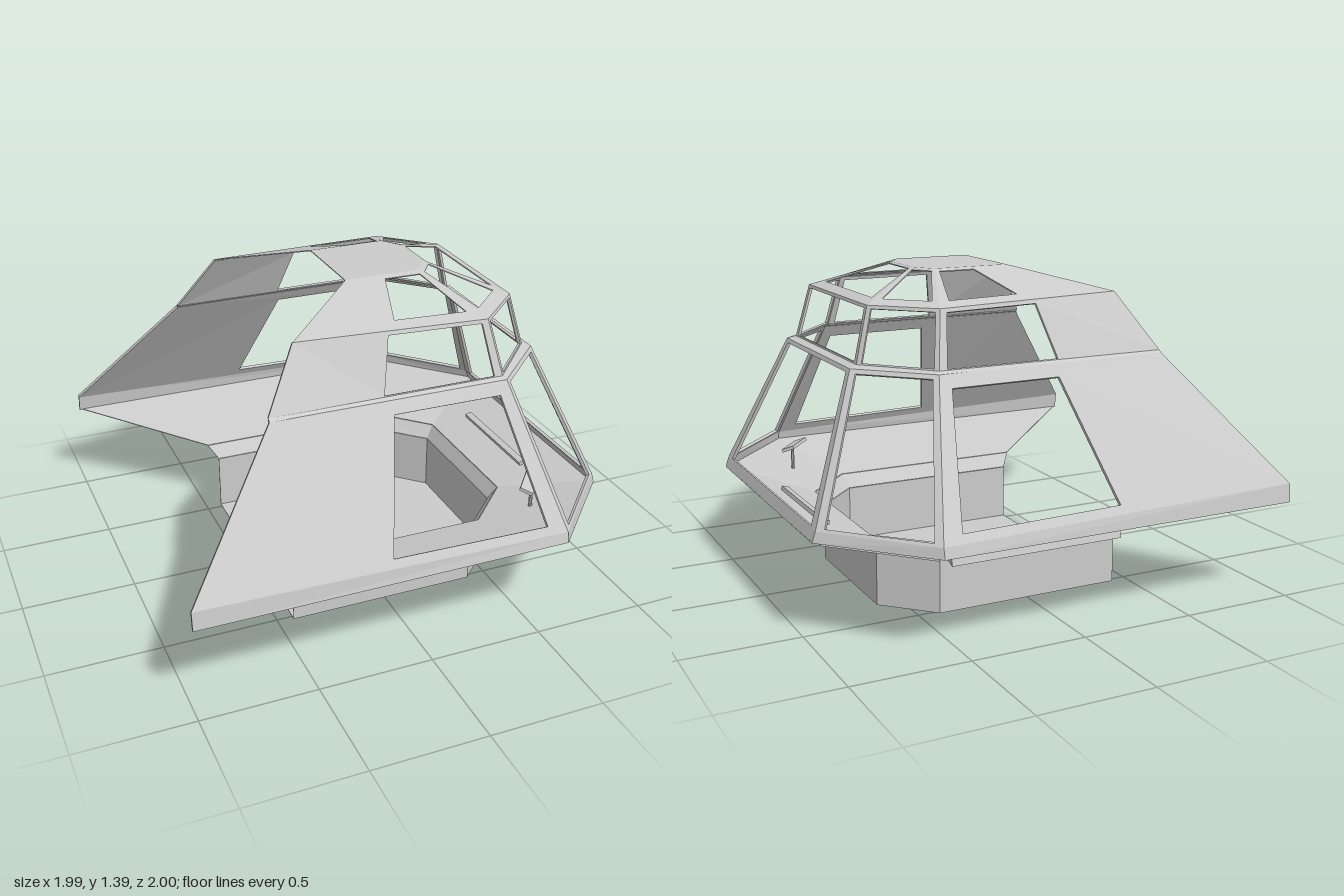
import * as THREE from 'three';

const mat = new THREE.MeshStandardMaterial({ color: 0xcccccc, flatShading: true, side: THREE.DoubleSide });
const CENTRE = new THREE.Vector3(0.1, 0.6, 0);

// Half-rings of the canopy: [x, y, z] at the tail, side corner and nose corner; mirrored in z
const RINGS = {
  tubBottom: [[-0.43, 0, 0.52], [0.41, 0, 0.52], [0.61, 0, 0.32]],
  tubTop: [[-0.43, 0.26, 0.52], [0.41, 0.26, 0.52], [0.61, 0.26, 0.32]],
  skirtBottom: [[-0.47, 0.32, 0.56], [0.43, 0.32, 0.56], [0.645, 0.32, 0.34]],
  rimBottom: [[-1, 0.42, 1], [0.61, 0.42, 1], [0.985, 0.42, 0.6]],
  rimTop: [[-1, 0.5, 0.99], [0.61, 0.465, 0.99], [0.97, 0.465, 0.6]],
  ledgeOuter: [[-0.56, 1.04, 0.65], [0.47, 1.04, 0.655], [0.735, 1.04, 0.39]],
  ledgeInner: [[-0.56, 1.05, 0.635], [0.46, 1.05, 0.635], [0.7, 1.05, 0.37]],
  eaves: [[-0.41, 1.292, 0.51], [0.42, 1.28, 0.56], [0.64, 1.28, 0.345]],
  roof: [[-0.06, 1.39, 0.2], [0.28, 1.39, 0.2], [0.34, 1.39, 0.11]],
};

function ring(name) {
  const half = RINGS[name].map(p => new THREE.Vector3(...p));
  const other = half.map(p => new THREE.Vector3(p.x, p.y, -p.z)).reverse();
  return [...half, ...other];
}

// Point inside a quad (bottom start, bottom end, top end, top start)
function at(q, u, v) {
  return q[0].clone().lerp(q[1], u).lerp(q[3].clone().lerp(q[2], u), v);
}

// Thick quad panel, optionally with a window [u0, u1, v0, v1]; thickness goes inward
function panel(name, q, t, win) {
  const n = q[2].clone().sub(q[0]).cross(q[3].clone().sub(q[1])).normalize();
  const mid = at(q, 0.5, 0.5);
  if (n.dot(CENTRE.clone().sub(mid)) < 0) n.negate();
  const back = a => a.map(p => p.clone().addScaledVector(n, t));
  const pos = [];
  const quad = (a, b, c, d) => [a, b, c, a, c, d].forEach(p => pos.push(p.x, p.y, p.z));
  const qb = back(q);
  let h, hb;
  if (win) {
    const [u0, u1, v0, v1] = win;
    h = [at(q, u0, v0), at(q, u1, v0), at(q, u1, v1), at(q, u0, v1)];
    hb = back(h);
  } else {
    quad(...q);
    quad(...qb);
  }
  for (let i = 0; i < 4; i++) {
    const j = (i + 1) % 4;
    quad(q[i], q[j], qb[j], qb[i]);
    if (!win) continue;
    quad(q[i], q[j], h[j], h[i]);
    quad(qb[i], qb[j], hb[j], hb[i]);
    quad(h[i], h[j], hb[j], hb[i]);
  }
  const g = new THREE.BufferGeometry();
  g.setAttribute('position', new THREE.Float32BufferAttribute(pos, 3));
  g.computeVertexNormals();
  const m = new THREE.Mesh(g, mat);
  m.name = name;
  return m;
}

// Five facets between two rings; windows listed for side, corner and nose
function band(name, lower, upper, t, wins = []) {
  const g = new THREE.Group();
  g.name = name;
  const a = ring(lower), b = ring(upper);
  const labels = ['side', 'corner', 'nose', 'corner', 'side'];
  for (let i = 0; i < 5; i++) {
    let w = wins[Math.min(i, 4 - i)];
    if (w && i > 2) w = [1 - w[1], 1 - w[0], w[2], w[3]];
    g.add(panel(labels[i] + 'Panel', [a[i], a[i + 1], b[i + 1], b[i]], t, w));
  }
  return g;
}

// Flat horizontal plate filling a ring
function plate(name, ringName, t) {
  const pts = ring(ringName);
  const g = new THREE.ExtrudeGeometry(
    new THREE.Shape(pts.map(p => new THREE.Vector2(p.x, -p.z))), { depth: t, bevelEnabled: false });
  g.rotateX(-Math.PI / 2);
  const m = new THREE.Mesh(g, mat);
  m.name = name;
  m.position.y = pts[0].y;
  return m;
}

function box(name, size, position) {
  const m = new THREE.Mesh(new THREE.BoxGeometry(...size), mat);
  m.name = name;
  m.position.set(...position);
  return m;
}

export function createModel() {
  const model = new THREE.Group();
  model.name = 'cockpitCanopy';

  // Tub and skirt, open at the tail
  model.add(plate('floor', 'tubBottom', 0.004));
  model.add(band('tubWalls', 'tubBottom', 'tubTop', 0.004));
  model.add(band('tubFlare', 'tubTop', 'skirtBottom', 0.004));
  model.add(band('skirt', 'skirtBottom', 'rimBottom', 0.004));
  model.add(band('rim', 'rimBottom', 'rimTop', 0.012));

  // Glazing frames
  model.add(band('lowerWindowFrames', 'rimTop', 'ledgeOuter', 0.015,
    [[0.51, 0.95, 0.06, 0.91], [0.07, 0.93, 0.02, 0.97], [0.045, 0.955, 0.01, 0.97]]));
  model.add(band('ledge', 'ledgeOuter', 'ledgeInner', 0.012));
  model.add(band('upperWindowFrames', 'ledgeInner', 'eaves', 0.012,
    [[0.48, 0.965, 0.02, 0.93], [0.06, 0.94, 0.03, 0.94], [0.035, 0.965, 0.03, 0.94]]));
  model.add(band('roofWindowFrames', 'eaves', 'roof', 0.005,
    [[0.52, 0.94, 0.17, 0.92], [0.11, 0.89, 0.17, 0.93], [0.06, 0.94, 0.17, 0.95]]));
  model.add(plate('roofPlate', 'roof', -0.004));

  // Raised borders under the nose and corner skirt panels
  const lo = ring('skirtBottom'), hi = ring('rimBottom');
  for (let i = 1; i < 4; i++) {
    const q = [lo[i], lo[i + 1], hi[i + 1], hi[i]];
    const inset = [at(q, 0.04, 0.06), at(q, 0.96, 0.06), at(q, 0.96, 0.94), at(q, 0.04, 0.94)];
    model.add(panel('skirtBorder', inset, -0.01, [0.035, 0.965, 0.06, 0.94]));
  }

  // Slab hanging under the far side of the skirt
  const slab = [[-0.12, 0.323, -0.57], [0.43, 0.323, -0.57], [0.57, 0.413, -0.97], [-0.17, 0.413, -0.97]];
  model.add(panel('skirtHatch', slab.map(p => new THREE.Vector3(...p)), -0.032));

  // Light strip through the nose skirt
  const strip = box('noseStrip', [0.03, 0.025, 0.54], [0.81, 0.378, 0]);
  strip.rotation.z = 0.28;
  model.add(strip);

  // Small control screen on a post
  const consoleGroup = new THREE.Group();
  consoleGroup.name = 'controlConsole';
  consoleGroup.position.set(0.65, 0, 0.6);
  consoleGroup.rotation.y = Math.PI / 4 + 0.1;
  const screen = box('screen', [0.17, 0.015, 0.06], [0, 0.485, 0]);
  screen.rotation.x = 0.35;
  const post = new THREE.Mesh(new THREE.CylinderGeometry(0.008, 0.008, 0.13, 8), mat);
  post.name = 'post';
  post.position.set(0, 0.415, 0.01);
  consoleGroup.add(screen, post, box('foot', [0.08, 0.012, 0.05], [0, 0.355, 0.02]));
  model.add(consoleGroup);

  return model;
}
